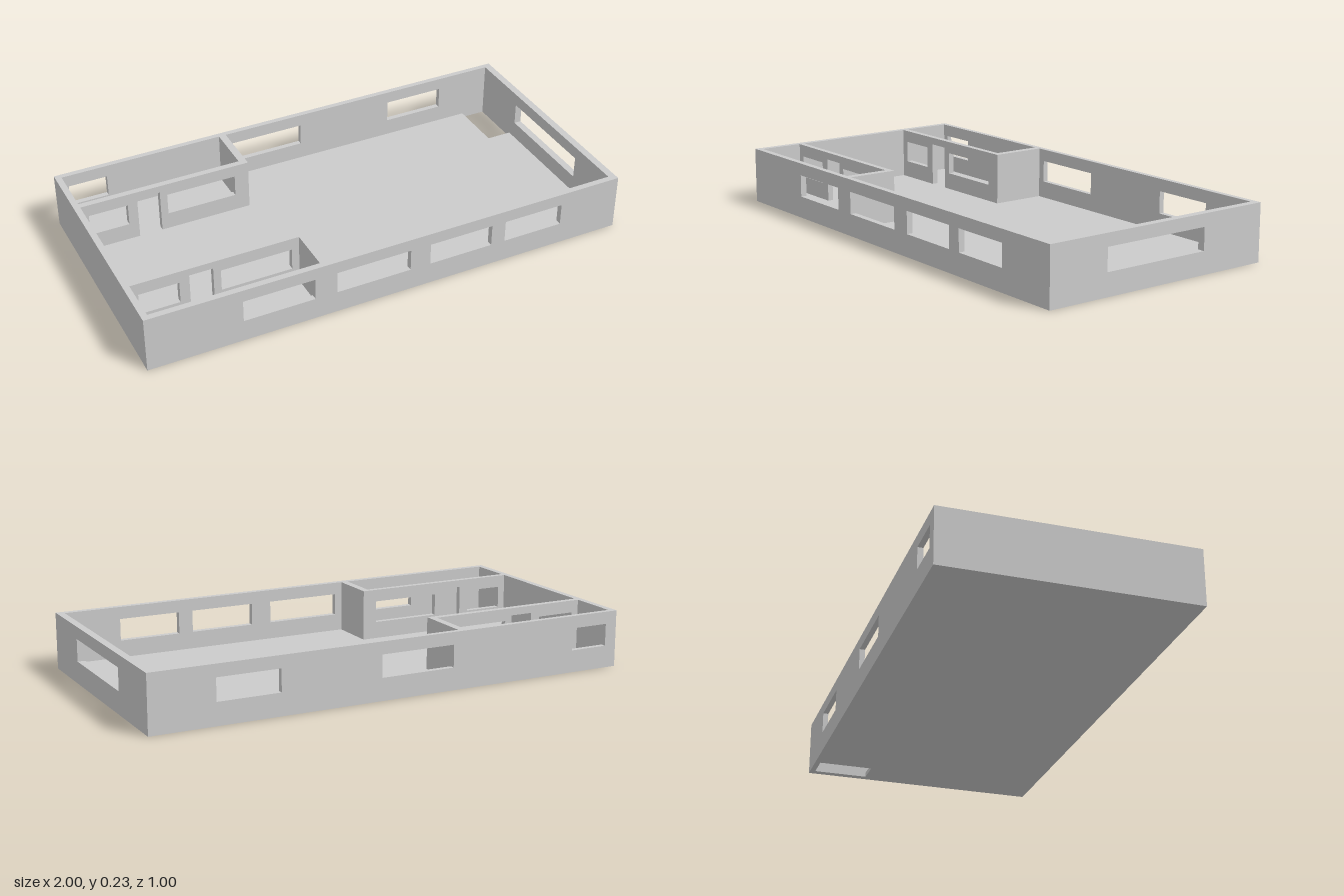
import * as THREE from 'three';

const material = new THREE.MeshStandardMaterial({ color: 0xcccccc, flatShading: true });
const FLOOR = 0.02, TOP = 0.23;
const WINDOW = [0.09, 0.18], DOOR = [FLOOR, 0.2];

// Shape from a rectangle outline, with rectangular holes [u0, u1, v0, v1]
function rectPath(path, u0, u1, v0, v1) {
  path.moveTo(u0, v0);
  path.lineTo(u1, v0);
  path.lineTo(u1, v1);
  path.lineTo(u0, v1);
  path.closePath();
  return path;
}

function panel(name, [u0, u1, v0, v1], depth, holes = []) {
  const shape = rectPath(new THREE.Shape(), u0, u1, v0, v1);
  for (const h of holes) shape.holes.push(rectPath(new THREE.Path(), ...h));
  const geometry = new THREE.ExtrudeGeometry(shape, { depth, bevelEnabled: false });
  const mesh = new THREE.Mesh(geometry, material);
  mesh.name = name;
  return mesh;
}

const windows = (...spans) => spans.map(([a, b]) => [a, b, ...WINDOW]);

// Wall running along x, between z0 and z1
function wallX(name, x0, x1, z0, z1, holes) {
  const mesh = panel(name, [x0, x1, FLOOR, TOP], z1 - z0, holes);
  mesh.position.z = z0;
  return mesh;
}

// Wall running along z, between x0 and x1 (holes are given in -z)
function wallZ(name, x0, x1, z0, z1, holes) {
  const mesh = panel(name, [-z1, -z0, FLOOR, TOP], x1 - x0, holes);
  mesh.rotation.y = Math.PI / 2;
  mesh.position.x = x0;
  return mesh;
}

// Partition with a doorway between a small and a wide window
function partition(name, z0, z1) {
  const left = -0.975, right = -0.27;
  const mesh = panel(name, [left, right, FLOOR, TOP], z1 - z0);
  const shape = new THREE.Shape();
  const [d0, d1] = [-0.745, -0.65];
  [[left, FLOOR], [d0, FLOOR], [d0, DOOR[1]], [d1, DOOR[1]], [d1, FLOOR],
    [right, FLOOR], [right, TOP], [left, TOP]]
    .forEach(([x, y], i) => (i ? shape.lineTo(x, y) : shape.moveTo(x, y)));
  shape.closePath();
  for (const h of windows([-0.945, -0.785], [-0.62, -0.33])) {
    shape.holes.push(rectPath(new THREE.Path(), ...h));
  }
  mesh.geometry = new THREE.ExtrudeGeometry(shape, { depth: z1 - z0, bevelEnabled: false });
  mesh.position.z = z0;
  return mesh;
}

export function createModel() {
  const model = new THREE.Group();
  model.name = 'floorPlan';

  // Floor slab with stairwell opening in the back corner (drawn in x, -z)
  const floor = panel('floor', [-1, 1, -0.5, 0.5], FLOOR, [[0.865, 0.97, 0.25, 0.478]]);
  floor.rotation.x = -Math.PI / 2;
  model.add(floor);

  // Outer walls
  model.add(
    wallX('frontWall', -1, 1, 0.475, 0.5,
      windows([-0.62, -0.33], [-0.24, 0.07], [0.155, 0.425], [0.485, 0.74])),
    wallX('backWall', -1, 1, -0.5, -0.478,
      windows([-0.95, -0.79], [-0.24, 0.07], [0.485, 0.74])),
    wallZ('leftWall', 0.97, 1, -0.478, 0.475, windows([-0.245, 0.215])),
    wallZ('rightWall', -1, -0.975, -0.478, 0.475),
  );

  // Two corner rooms
  model.add(
    partition('backRoomPartition', -0.275, -0.25),
    wallZ('backRoomEndWall', -0.3, -0.27, -0.478, -0.275),
    partition('frontRoomPartition', 0.272, 0.295),
    wallZ('frontRoomEndWall', -0.3, -0.27, 0.295, 0.475),
  );
  return model;
}
